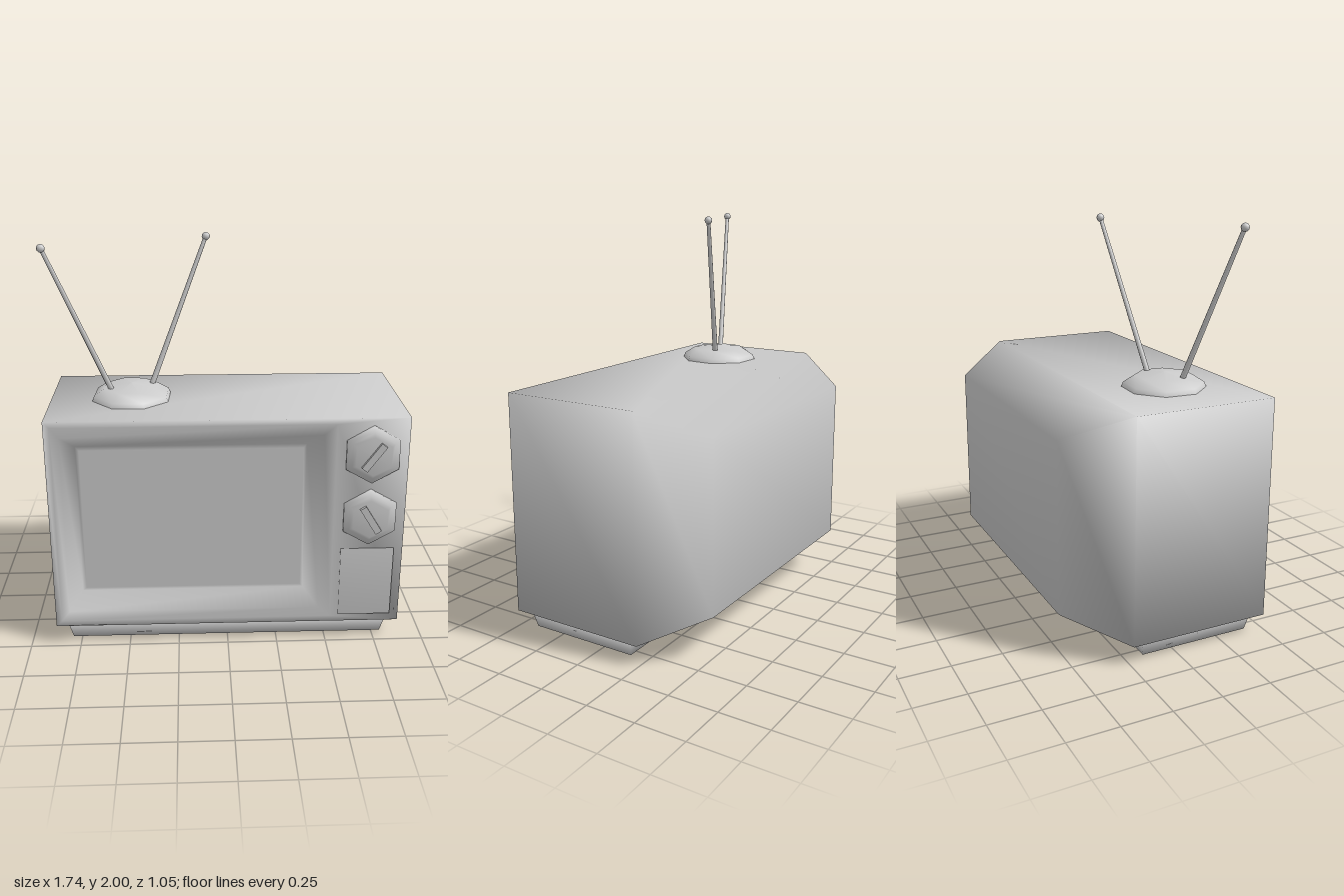
import * as THREE from 'three';

const material = new THREE.MeshStandardMaterial({ color: 0xcccccc });

function add(parent, name, geometry, x = 0, y = 0, z = 0) {
  const mesh = new THREE.Mesh(geometry, material);
  mesh.name = name;
  mesh.position.set(x, y, z);
  parent.add(mesh);
  return mesh;
}

// Closed, smooth-shaded skin through rectangles [x0, x1, y0, y1, z], back to front
function loft(rings) {
  const pos = [];
  const idx = [];
  for (const [x0, x1, y0, y1, z] of rings) {
    pos.push(x0, y0, z, x1, y0, z, x1, y1, z, x0, y1, z);
  }
  for (let i = 0; i < rings.length - 1; i++) {
    for (let j = 0; j < 4; j++) {
      const a = i * 4 + j;
      const b = i * 4 + (j + 1) % 4;
      idx.push(a, b, b + 4, a, b + 4, a + 4);
    }
  }
  const n = (rings.length - 1) * 4;
  idx.push(0, 2, 1, 0, 3, 2, n, n + 1, n + 2, n, n + 2, n + 3);
  const g = new THREE.BufferGeometry();
  g.setAttribute('position', new THREE.Float32BufferAttribute(pos, 3));
  g.setIndex(idx);
  g.computeVertexNormals();
  return g;
}

const lathe = (points, sides) =>
  new THREE.LatheGeometry(points.map(([r, y]) => new THREE.Vector2(r, y)), sides);

function addRod(parent, foot, tip) {
  const a = new THREE.Vector3(...foot);
  const b = new THREE.Vector3(...tip);
  const dir = b.clone().sub(a);
  const rod = add(parent, 'antennaRod', new THREE.CylinderGeometry(0.01, 0.014, dir.length(), 8));
  rod.position.copy(a).add(b).multiplyScalar(0.5);
  rod.quaternion.setFromUnitVectors(new THREE.Vector3(0, 1, 0), dir.normalize());
  add(parent, 'antennaTip', new THREE.SphereGeometry(0.02, 8, 6), ...tip);
}

function addKnob(parent, y, turn) {
  const knob = new THREE.Group();
  knob.name = 'knob';
  knob.position.set(0.695, y, 0.47);
  // Stepped hexagonal dial
  const dial = lathe([[0.148, 0], [0.148, 0.016], [0.118, 0.026], [0.098, 0.04], [0, 0.042]], 6);
  add(knob, 'dial', dial.rotateX(Math.PI / 2));
  // Grip bar across the dial
  const grip = add(knob, 'grip', new THREE.BoxGeometry(0.034, 0.155, 0.03), 0, 0, 0.04);
  grip.rotation.z = turn;
  parent.add(knob);
}

export function createModel() {
  const tv = new THREE.Group();
  tv.name = 'television';

  // Cabinet with tapered back, front frame and sunken screen
  add(tv, 'cabinet', loft([
    [-0.66, 0.66, 0.23, 1.075, -0.525],
    [-0.87, 0.87, 0.1, 1.205, -0.24],
    [-0.87, 0.87, 0.1, 1.205, 0.475],
    [-0.84, 0.52, 0.13, 1.175, 0.475],
    [-0.8, 0.46, 0.18, 1.12, 0.47],
    [-0.735, 0.385, 0.262, 1.05, 0.4],
    [-0.715, 0.37, 0.28, 1.03, 0.405],
  ]));
  add(tv, 'screen', new THREE.PlaneGeometry(1.085, 0.75), -0.1725, 0.655, 0.4065);

  // Plinth, lofted upwards
  add(tv, 'plinth', loft([
    [-0.795, 0.795, -0.415, 0.155, 0],
    [-0.82, 0.82, -0.435, 0.175, 0.102],
  ]).rotateX(-Math.PI / 2));

  // Controls on the right of the front
  addKnob(tv, 1.02, -0.63);
  addKnob(tv, 0.69, 0.55);
  add(tv, 'speakerPlate', loft([
    [0.56, 0.825, 0.145, 0.515, 0.46],
    [0.56, 0.825, 0.145, 0.515, 0.486],
  ]));

  // Antenna: domed octagonal foot and two rods
  const foot = lathe([[0.205, 0], [0.195, 0.025], [0.14, 0.06], [0, 0.075]], 8);
  add(tv, 'antennaFoot', foot.rotateY(Math.PI / 8 - 0.06), -0.47, 1.203, 0.115);
  addRod(tv, [-0.37, 1.255, 0.08], [-0.09, 1.98, -0.04]);
  addRod(tv, [-0.565, 1.255, 0.16], [-0.85, 1.98, 0.285]);

  return tv;
}
